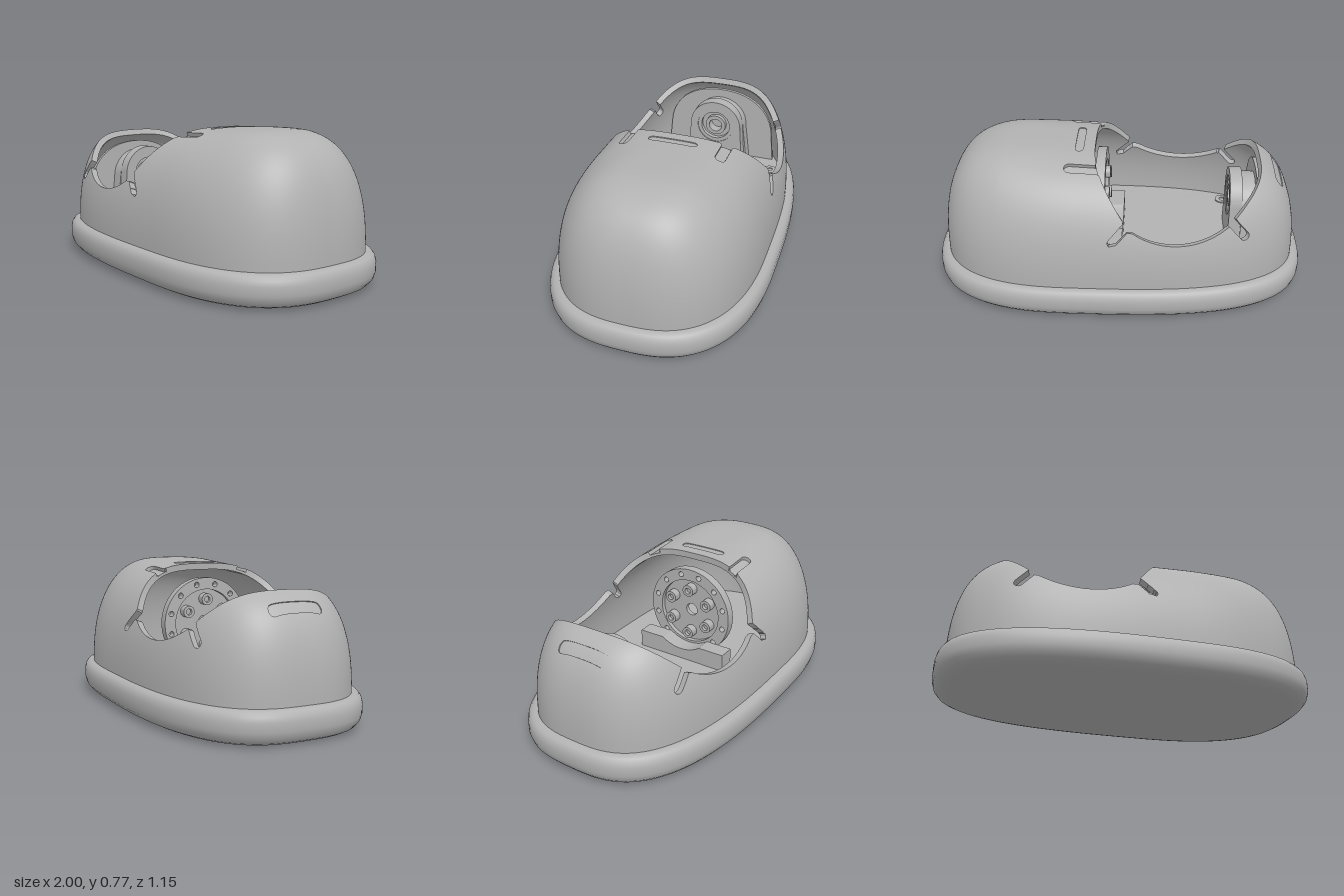
import * as THREE from 'three';
import { toCreasedNormals } from 'three/addons/utils/BufferGeometryUtils.js';

const CX = 0.2, BASE_Y = 0.17, WALL = 0.035;
const grey = new THREE.MeshStandardMaterial({ color: 0xb2b2b2, side: THREE.DoubleSide });
grey.name = 'plain grey';

// Egg-like plan outline, longer and boxier towards -x
function outline(theta, left, right, half) {
  const c = Math.cos(theta), s = Math.sin(theta);
  const pw = (v) => Math.sign(v) * Math.pow(Math.abs(v), 2 / (c > 0 ? 2.65 : 2.9));
  return [pw(c) * (c > 0 ? right : left), pw(s) * half];
}

// Dome surface: theta runs around, phi runs from the crown down to the base
function dome(theta, phi) {
  const rho = Math.sin(phi), c = Math.cos(theta);
  const [ox, oz] = outline(theta, 1.15, 0.75, 0.525);
  const x = CX + rho * ox;
  const m = 3.1 + ((c > 0 ? 6 : 10) - 3.1) * Math.abs(c) ** 3;
  const top = 0.78 - 0.05 * Math.max(0, 0.6 - x);
  const v = Math.pow(Math.max(0, 1 - Math.pow(rho, m)), 0.45);
  return new THREE.Vector3(x, BASE_Y + (top - BASE_Y) * v, rho * oz);
}

function domeNormal(theta, phi) {
  const e = 0.008, f = Math.min(Math.max(phi, 0.03), Math.PI / 2 - 0.02);
  const a = dome(theta + e, f).sub(dome(theta - e, f));
  const b = dome(theta, f + e).sub(dome(theta, f - e));
  return a.cross(b).normalize();
}

// Positive inside a rounded slot of radius r
function slot(u, v, [u0, v0, u1, v1, r]) {
  const du = u1 - u0, dv = v1 - v0;
  const t = Math.min(1, Math.max(0, ((u - u0) * du + (v - v0) * dv) / (du * du + dv * dv)));
  return r - Math.hypot(u - u0 - t * du, v - v0 - t * dv);
}

// Saddle opening with a notch at each of its corners
function opening(p) {
  const dx = p.x + 0.315;
  const arc = Math.abs(dx) < 0.25 ? 0.847 - Math.sqrt(0.185 - dx * dx) : -1;
  const edge = Math.max(arc, 0.5 - 1.03 * (p.x + 0.57), 0.49 + 1.37 * (p.x + 0.07));
  const notches = [[-0.65, 0.44, -0.56, 0.54, 0.022], [0.02, 0.435, -0.07, 0.535, 0.022]];
  return Math.max((p.y - edge) * 0.7, ...notches.map((n) => slot(p.x, p.y, n)));
}

// Grooves on the crown: two deep ones at the sides, two faint ones across the middle
const grooves = [
  [0.05, -0.262, 0.245, -0.262, 0.026], [0.05, 0.25, 0.245, 0.25, 0.026],
  [0.205, -0.11, 0.205, 0.11, 0.021], [-0.84, -0.12, -0.84, 0.12, 0.021],
];
const groove = (p) => Math.max(...grooves.map((g) => slot(p.x, p.z, g)));
const grooveDepth = (p) => (Math.abs(p.z) > 0.2 ? 0.02 : 0.005);

// One sheet of the shell, trimmed where cut(p) > 0, with walls along the trim.
// depth and wall give distances below the dome surface
function sheet(grid, cut, depth, flip, wall) {
  const pos = [], nor = [];
  const at = (v, d) => v.p.clone().addScaledVector(v.n, -d);
  const tri = (pts, ns) => pts.forEach((p, i) => { pos.push(p.x, p.y, p.z); nor.push(ns[i].x, ns[i].y, ns[i].z); });
  const values = grid.map((row) => row.map((v) => cut(v.p)));
  const clip = (corners) => {
    const out = [];
    let exit, entry;
    corners.forEach((a, k) => {
      const b = corners[(k + 1) % 3];
      if (a.f <= 0) out.push(a);
      if ((a.f <= 0) !== (b.f <= 0)) {
        const t = a.f / (a.f - b.f);
        const mid = { p: a.p.clone().lerp(b.p, t), n: a.n.clone().lerp(b.n, t).normalize() };
        out.push(mid);
        if (a.f <= 0) exit = mid; else entry = mid;
      }
    });
    for (let k = 1; k + 1 < out.length; k++) {
      const t = flip ? [out[0], out[k + 1], out[k]] : [out[0], out[k], out[k + 1]];
      tri(t.map((v) => at(v, depth(v.p))), t.map((v) => (flip ? v.n.clone().negate() : v.n)));
    }
    if (exit && wall) {
      const span = [depth(exit.p), wall(exit.p)];
      const lo = Math.max(...span), hi = Math.min(...span);
      const n = entry.p.clone().sub(exit.p).cross(exit.n).normalize();
      const [a, b, c, d] = [at(exit, lo), at(entry, lo), at(entry, hi), at(exit, hi)];
      tri([a, b, c, a, c, d], [n, n, n, n, n, n]);
    }
  };
  for (let i = 0; i + 1 < grid.length; i++) {
    for (let j = 0; j + 1 < grid[i].length; j++) {
      const v = (di, dj) => ({ ...grid[i + di][j + dj], f: values[i + di][j + dj] });
      if (j > 0) clip([v(0, 0), v(1, 0), v(1, 1)]);
      clip([v(0, 0), v(1, 1), v(0, 1)]);
    }
  }
  const g = new THREE.BufferGeometry();
  g.setAttribute('position', new THREE.Float32BufferAttribute(pos, 3));
  g.setAttribute('normal', new THREE.Float32BufferAttribute(nor, 3));
  return g;
}

// Solid base with a rounded edge, lofted from [inset, height] pairs
function baseGeometry() {
  const profile = [[1, 0], [0.085, 0], [0.08, 0], [0.055, 0.006], [0.028, 0.02], [0.009, 0.043], [0, 0.075],
    [0, 0.12], [0.006, 0.145], [0.018, 0.162], [0.036, 0.17], [0.055, 0.172], [0.06, 0.172], [1, 0.172]];
  const N = 128, pos = [], idx = [];
  profile.forEach(([inset, y]) => {
    for (let i = 0; i <= N; i++) {
      const k = inset === 1 ? [0, 0, 0] : [1.2 - inset, 0.8 - inset, 0.576 - inset];
      const [x, z] = outline((i / N) * Math.PI * 2, ...k);
      pos.push(CX + x, y, z);
    }
  });
  for (let r = 0; r + 1 < profile.length; r++) {
    for (let i = 0; i < N; i++) {
      const a = r * (N + 1) + i, b = a + N + 1;
      if (r + 2 < profile.length) idx.push(a, b, b + 1);
      else idx.push(a, b, a + 1);
      if (r > 0 && r + 2 < profile.length) idx.push(a, b + 1, a + 1);
    }
  }
  const g = new THREE.BufferGeometry();
  g.setAttribute('position', new THREE.Float32BufferAttribute(pos, 3));
  g.setIndex(idx);
  return toCreasedNormals(g, 0.75);
}

export function createModel() {
  const model = new THREE.Group();
  const add = (name, geometry, x = 0, y = 0, z = 0) => {
    const mesh = new THREE.Mesh(geometry, grey);
    mesh.name = name;
    mesh.position.set(x, y, z);
    model.add(mesh);
  };
  // Extrudes a shape drawn in the z-y plane along +x
  const slab = (shape, depth) => toCreasedNormals(
    new THREE.ExtrudeGeometry(shape, { depth, bevelEnabled: false, curveSegments: 24 }).rotateY(Math.PI / 2), 0.5);
  const circle = (r, x = 0, y = 0, Kind = THREE.Path) => new Kind().absarc(x, y, r, 0, Math.PI * 2);
  const ring = (outer, inner) => {
    const s = circle(outer, 0, 0, THREE.Shape);
    s.holes.push(circle(inner));
    return s;
  };

  add('base', baseGeometry());

  // Domed shell
  const grid = [], N = 288, M = 92;
  for (let i = 0; i <= N; i++) {
    const theta = (i / N) * Math.PI * 2;
    grid.push(Array.from({ length: M + 1 }, (_, j) => {
      const phi = (j / M) * Math.PI / 2;
      return { p: dome(theta, phi), n: domeNormal(theta, phi) };
    }));
  }
  add('shellOuter', sheet(grid, (p) => Math.max(opening(p), groove(p)), () => 0, false, grooveDepth));
  add('shellInner', sheet(grid, opening, () => WALL, true, grooveDepth));
  add('grooveFloors', sheet(grid, (p) => Math.max(opening(p), -groove(p)), grooveDepth, false, null));

  // Flat partition behind the bearing
  const wall = new THREE.Shape();
  wall.moveTo(-0.34, 0.17).lineTo(0.34, 0.17).lineTo(0.32, 0.38);
  wall.bezierCurveTo(0.29, 0.53, 0.17, 0.61, 0, 0.61).bezierCurveTo(-0.17, 0.61, -0.29, 0.53, -0.32, 0.38);
  add('partition', slab(wall, 0.02), -0.745);

  // Bearing pedestal
  const arch = (foot, r, y) => new THREE.Shape().moveTo(-foot, 0.17).lineTo(foot, 0.17).lineTo(r, y)
    .absarc(0, y, r, 0, Math.PI, false);
  const pedestal = arch(0.175, 0.155, 0.43);
  pedestal.holes.push(circle(0.11, 0, 0.43));
  add('pedestal', slab(pedestal, 0.065), -0.655);
  add('pedestalBack', slab(arch(0.19, 0.16, 0.4), 0.07), -0.725);
  add('bearingOuterRing', slab(ring(0.11, 0.088), 0.06), -0.655, 0.43);
  add('bearingCage', slab(ring(0.09, 0.06), 0.035), -0.655, 0.43);
  add('bearingInnerRing', slab(ring(0.062, 0.04), 0.06), -0.655, 0.43);

  // Mounting flange with holes, hub plate and foot
  const flange = ring(0.25, 0.185);
  for (let k = 0; k < 12; k++) {
    const a = ((k + 0.5) * Math.PI) / 6;
    flange.holes.push(circle(0.015, 0.218 * Math.cos(a), 0.218 * Math.sin(a)));
  }
  add('flangeRing', slab(flange, 0.05), 0.07, 0.43);
  add('hubPlate', slab(ring(0.19, 0.035), 0.025), 0.095, 0.43);
  const foot = new THREE.Shape();
  foot.moveTo(-0.27, 0.17).lineTo(0.27, 0.17).lineTo(0.27, 0.27).lineTo(0.12, 0.27);
  foot.absarc(0, 0.44, 0.208, -0.957, -Math.PI + 0.957, true).lineTo(-0.27, 0.27);
  add('flangeFoot', slab(foot, 0.09), -0.02);
  for (let k = 0; k < 6; k++) {
    const a = ((k + 0.5) * Math.PI) / 3, y = 0.43 + 0.13 * Math.sin(a), z = 0.13 * Math.cos(a);
    add('hubBolt', slab(ring(0.033, 0.017), 0.045), 0.05, y, z);
    add('hubBoltCore', slab(circle(0.018, 0, 0, THREE.Shape), 0.025), 0.07, y, z);
  }

  // Screw bosses on the floor
  for (const s of [-1, 1]) {
    add('screwBoss', slab(ring(0.04, 0.016), 0.008).rotateZ(Math.PI / 2), -0.6, 0.17, s * 0.355);
  }
  return model;
}
